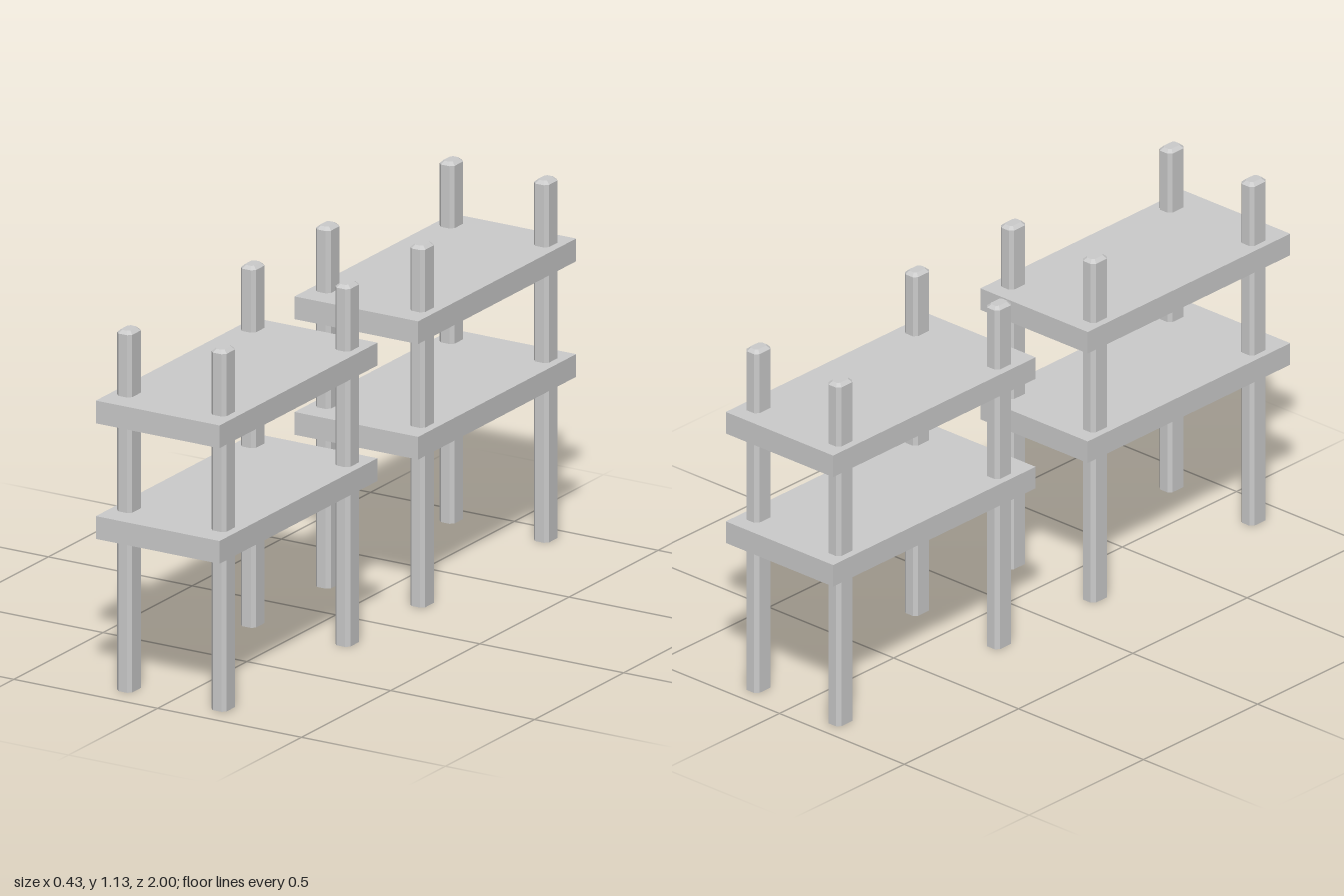
import * as THREE from 'three';

const material = new THREE.MeshStandardMaterial({ color: 0xcccccc, flatShading: true });

const POST_W = 0.052, POST_D = 0.07, POST_H = 1.127, CHAMFER = 0.011;

// Rectangle with cut corners, as [x, z] pairs
function octagon(w, d, c) {
  const x = w / 2, z = d / 2;
  return [
    [x, z - c], [x - c, z], [c - x, z], [-x, z - c],
    [-x, c - z], [c - x, -z], [x - c, -z], [x, c - z],
  ];
}

// Upright post: chamfered shaft, bevelled top, flat foot
function postGeometry() {
  const shaft = octagon(POST_W, POST_D, CHAMFER);
  const crown = octagon(POST_W - 0.021, POST_D - 0.021, 0.007);
  const rings = [
    shaft.map(([x, z]) => [x, 0, z]),
    shaft.map(([x, z]) => [x, POST_H - 0.01, z]),
    crown.map(([x, z]) => [x, POST_H, z]),
  ];
  const positions = [];
  const tri = (a, b, c) => positions.push(...a, ...b, ...c);
  for (let i = 0; i < 8; i++) {
    const j = (i + 1) % 8;
    for (let r = 0; r < 2; r++) {
      const lo = rings[r], hi = rings[r + 1];
      tri(lo[i], hi[i], hi[j]);
      tri(lo[i], hi[j], lo[j]);
    }
    tri(rings[0][i], rings[0][j], [0, 0, 0]);
    tri(rings[2][j], rings[2][i], [0, POST_H, 0]);
  }
  const geometry = new THREE.BufferGeometry();
  geometry.setAttribute('position', new THREE.Float32BufferAttribute(positions, 3));
  geometry.computeVertexNormals();
  return geometry;
}

export function createModel() {
  const model = new THREE.Group();
  model.name = 'shelfPair';
  const postGeo = postGeometry();
  const boardGeo = new THREE.BoxGeometry(0.43, 0.071, 0.886);

  // One two-tier shelf, with its posts set slightly off centre
  const addShelf = (name, z) => {
    const shelf = new THREE.Group();
    shelf.name = name;
    shelf.position.z = z;

    // Boards
    for (const [label, y] of [['lowerBoard', 0.526], ['upperBoard', 0.887]]) {
      const board = new THREE.Mesh(boardGeo, material);
      board.name = label;
      board.position.y = y;
      shelf.add(board);
    }

    // Corner posts
    for (const [side, x] of [['Right', -0.166], ['Left', 0.162]]) {
      for (const [end, pz] of [['front', 0.336], ['back', -0.358]]) {
        const post = new THREE.Mesh(postGeo, material);
        post.name = `${end}${side}Post`;
        post.position.set(x, 0, pz);
        shelf.add(post);
      }
    }
    model.add(shelf);
  };

  addShelf('frontShelf', 0.557);
  addShelf('backShelf', -0.557);
  return model;
}
